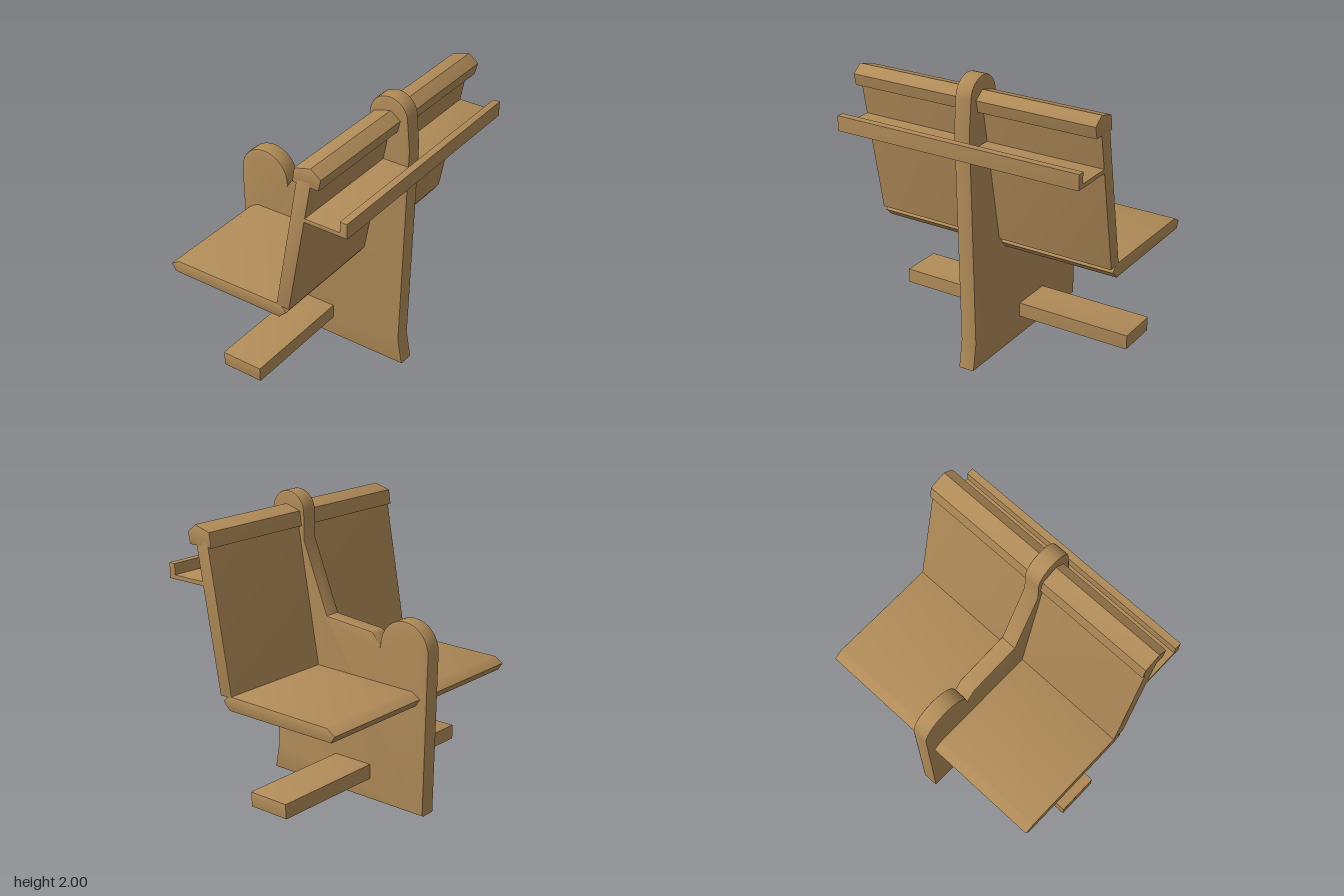
import * as THREE from 'three';
import { toCreasedNormals } from 'three/addons/utils/BufferGeometryUtils.js';

const wood = new THREE.MeshStandardMaterial({ color: 0xb08b58 });
wood.name = 'wood';

// Extrudes a side profile along z, centred, with softened edges inside the outline
function plank(name, points, width, bevel) {
  const shape = new THREE.Shape(points.map(([x, y]) => new THREE.Vector2(x, y)));
  const geometry = new THREE.ExtrudeGeometry(shape, {
    depth: width - 2 * bevel,
    bevelEnabled: true,
    bevelSize: bevel,
    bevelThickness: bevel,
    bevelOffset: -bevel,
    bevelSegments: 2,
  });
  geometry.translate(0, 0, -width / 2 + bevel);
  const mesh = new THREE.Mesh(toCreasedNormals(geometry, 0.6), wood);
  mesh.name = name;
  return mesh;
}

// Half circle from right to left over the top
function dome(cx, cy, r, steps = 16) {
  return Array.from({ length: steps + 1 }, (_, i) => {
    const a = (Math.PI * i) / steps;
    return [cx + r * Math.cos(a), cy + r * Math.sin(a)];
  });
}

export function createModel() {
  const group = new THREE.Group();
  group.name = 'bench';
  const length = 1.765;

  // Central upright with rounded armrest and headrest
  group.add(plank('centrePanel', [
    [-0.695, 0], [0.603, 0], [0.57, 0.185], [0.606, 1.67],
    ...dome(0.448, 1.862, 0.138),
    [0.31, 1.685], [0.122, 1.222], [0.113, 1.207], [0.098, 1.203],
    [-0.262, 1.173], [-0.283, 1.16], [-0.332, 1.09],
    ...dome(-0.525, 1.1, 0.192),
  ], 0.118, 0.012));

  // Seat board with chamfered front and rear
  group.add(plank('seat', [
    [-0.627, 0.752], [0.21, 0.752], [0.264, 0.805], [0.235, 0.838],
    [0.2, 0.85], [-0.595, 0.841], [-0.658, 0.802],
  ], length, 0.006));

  // Leaning backrest, its top hidden inside the cap
  group.add(plank('backrest', [
    [0.19, 0.84], [0.287, 0.838], [0.463, 1.81], [0.362, 1.81],
  ], length, 0.005));

  // Cap along the top of the backrest
  group.add(plank('backrestCap', [
    [0.33, 1.778], [0.515, 1.778], [0.533, 1.857], [0.463, 1.91], [0.345, 1.876],
  ], length, 0.006));

  // Rear shelf with raised lip
  group.add(plank('rearShelf', [
    [0.395, 1.527], [0.712, 1.527], [0.712, 1.63], [0.663, 1.63],
    [0.663, 1.557], [0.4, 1.557],
  ], length, 0.005));

  // Footrest bar through the panel
  group.add(plank('footrest', [
    [-0.257, 0.148], [0.04, 0.148], [0.04, 0.25], [-0.257, 0.25],
  ], length, 0.008));

  return group;
}
